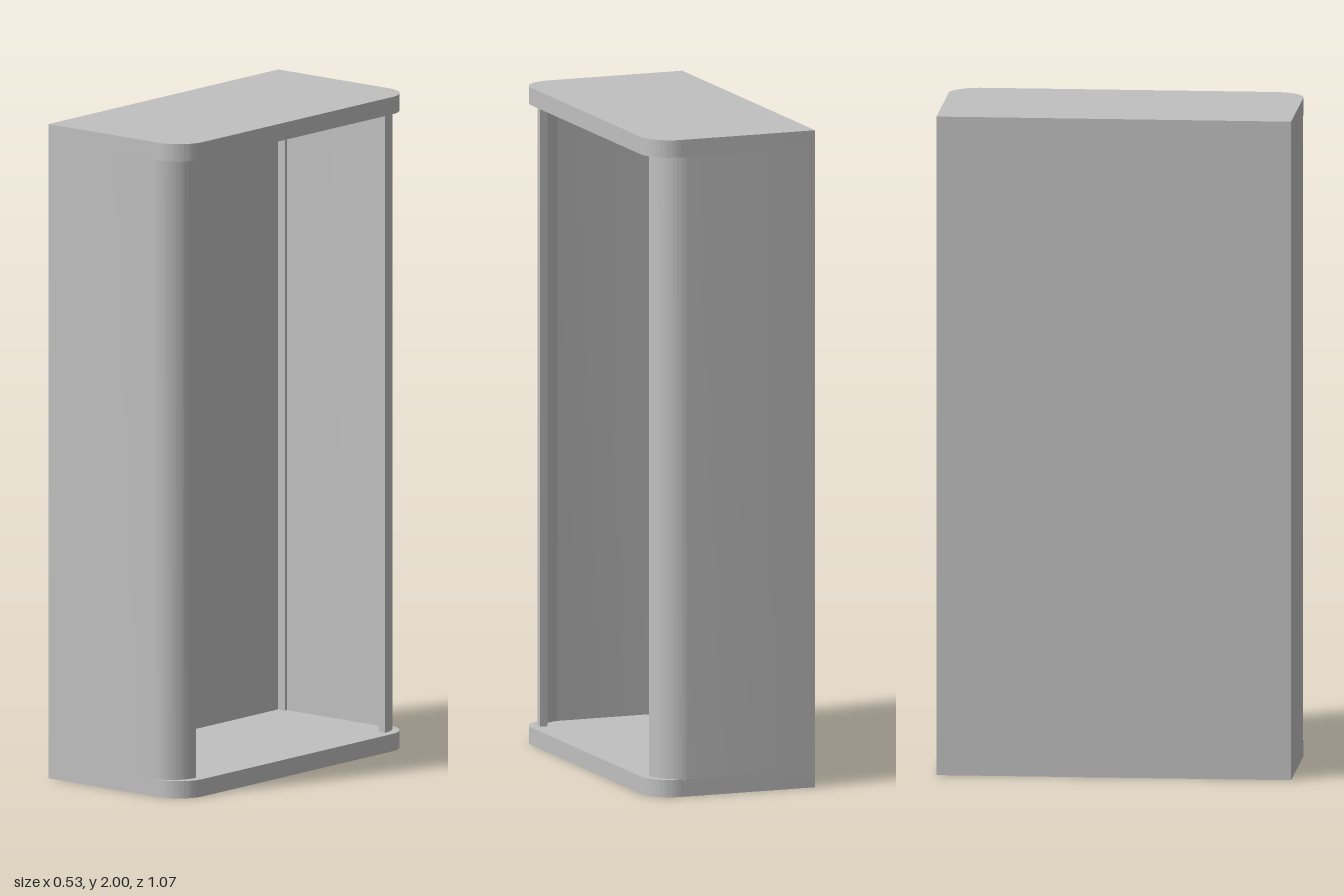
import * as THREE from 'three';
import { toCreasedNormals } from 'three/addons/utils/BufferGeometryUtils.js';

const BACK = -0.263, FRONT = 0.263, HALF = 0.533; // plan extents
const CAP = 0.053, HEIGHT = 2, SKIN = 0.025, R = 0.095;

export function createModel() {
  const group = new THREE.Group();
  group.name = 'openCabinet';
  const grey = new THREE.MeshStandardMaterial({ color: 0xc0c0c0 });
  grey.name = 'light grey';

  // Extrude a plan outline upward; outline y becomes -z
  const addPart = (name, shape, y, height) => {
    const raw = new THREE.ExtrudeGeometry(shape, { depth: height, bevelEnabled: false, curveSegments: 16 });
    raw.rotateX(-Math.PI / 2);
    const mesh = new THREE.Mesh(toCreasedNormals(raw, 0.5), grey);
    mesh.name = name;
    mesh.position.y = y;
    group.add(mesh);
  };

  // Top and bottom caps with two rounded corners
  const cap = new THREE.Shape();
  cap.moveTo(BACK, -HALF);
  cap.lineTo(FRONT - R, -HALF);
  cap.absarc(FRONT - R, -HALF + R, R, -Math.PI / 2, 0, false);
  cap.lineTo(FRONT, HALF - R);
  cap.absarc(FRONT - R, HALF - R, R, 0, Math.PI / 2, false);
  cap.lineTo(BACK, HALF);
  cap.closePath();
  addPart('bottomCap', cap, 0, CAP);
  addPart('topCap', cap, HEIGHT - CAP, CAP);

  // Side walls: thin sheets curling inward at the open edge
  const edge = 0.235, cx = edge - R, cy = HALF - R;
  const inner = HALF - SKIN, cleat = BACK + 0.055;
  for (const s of [1, -1]) {
    const wall = new THREE.Shape();
    wall.moveTo(BACK, s * HALF);
    wall.lineTo(cx, s * HALF);
    wall.absarc(cx, s * cy, R, s * Math.PI / 2, 0, s > 0);
    wall.lineTo(edge - SKIN, s * cy);
    wall.absarc(cx, s * cy, R - SKIN, 0, s * Math.PI / 2, s < 0);
    // slight step at the back corner
    wall.lineTo(cleat, s * inner);
    wall.lineTo(cleat, s * (inner - 0.01));
    wall.lineTo(BACK, s * (inner - 0.01));
    wall.closePath();
    addPart(s > 0 ? 'rearSideWall' : 'frontSideWall', wall, CAP, HEIGHT - 2 * CAP);
  }

  // Back panel between the side walls
  const panel = new THREE.Mesh(
    new THREE.BoxGeometry(0.028, HEIGHT - 2 * CAP, 2 * (inner - 0.01)), grey);
  panel.name = 'backPanel';
  panel.position.set(BACK + 0.014, HEIGHT / 2, 0);
  group.add(panel);

  return group;
}
